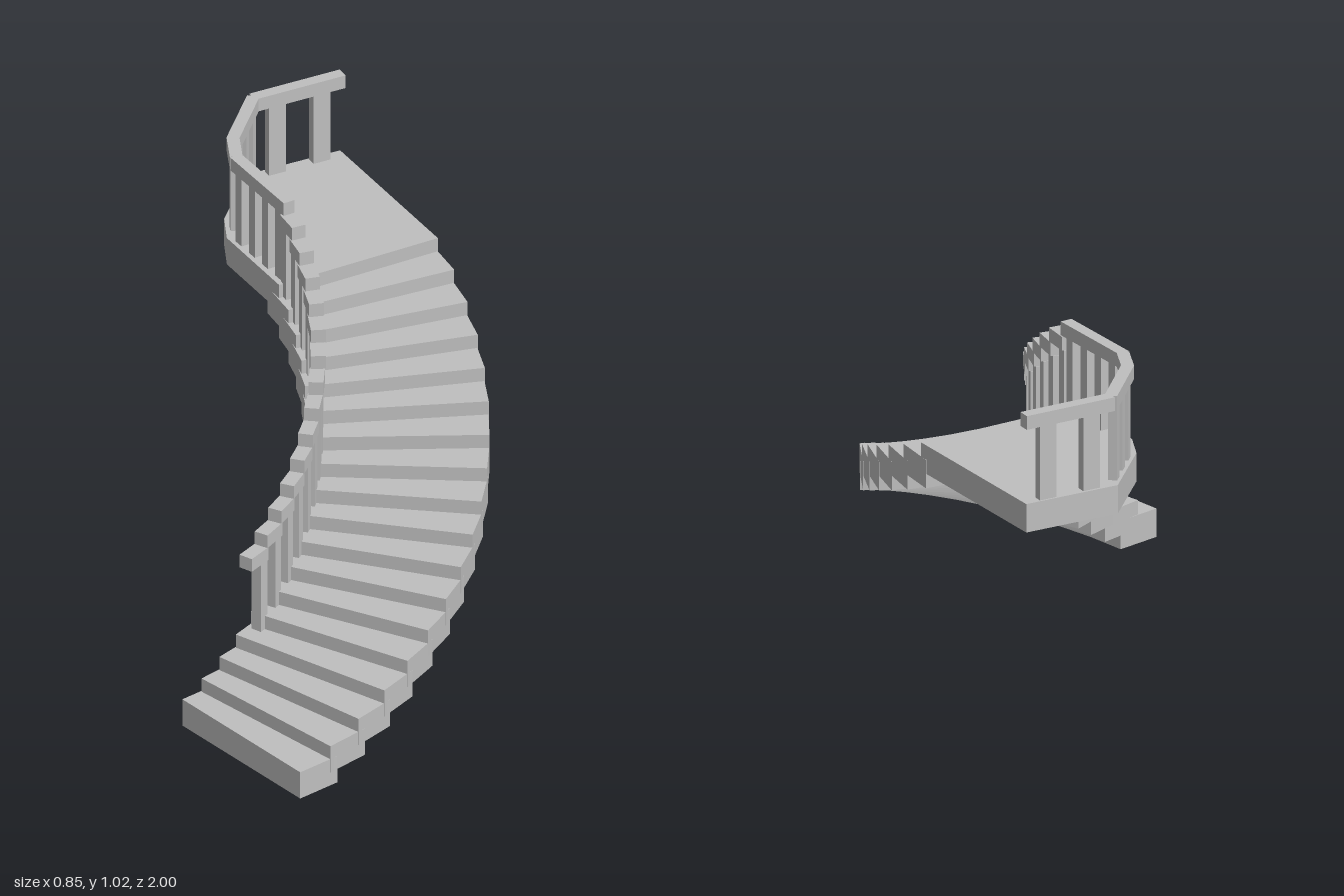
import * as THREE from 'three';

const STEPS = 17, RISE = 0.0405, THICK = 0.081;
const CENTRE = { x: -0.84, z: 0.168 };
const START = THREE.MathUtils.degToRad(38.3), TURN = THREE.MathUtils.degToRad(4.69);
const INNER = 0.777, OUTER = 1.26, DEPTH = 0.128;
const RAIL_R = 0.808, RAIL_TOP = 0.25, RAIL_H = 0.039, RAIL_W = 0.04, POST = 0.03;

export function createModel() {
  const root = new THREE.Group();
  root.name = 'curvedStaircase';
  const stone = new THREE.MeshStandardMaterial({ color: 0xbfbfbf });
  stone.name = 'stone grey';

  function box(name, w, h, d, x, y, z, turn) {
    const mesh = new THREE.Mesh(new THREE.BoxGeometry(w, h, d), stone);
    mesh.name = name;
    mesh.position.set(x, y, z);
    mesh.rotation.y = turn;
    root.add(mesh);
  }

  // Box placed on the stair arc: radius r, shifted forward along the tangent
  function arcBox(name, w, h, d, r, angle, y, forward = 0) {
    const c = Math.cos(angle), s = Math.sin(angle);
    box(name, w, h, d, CENTRE.x + r * c - forward * s, y, CENTRE.z + r * s + forward * c, -angle);
  }

  const postH = RAIL_TOP - RAIL_H;

  // Treads, with a baluster and stepped handrail block from the fourth tread up
  for (let i = 0; i < STEPS; i++) {
    const angle = START - i * TURN, top = THICK + i * RISE;
    arcBox('tread', OUTER - INNER, THICK, DEPTH, (INNER + OUTER) / 2, angle, top - THICK / 2);
    if (i < 3) continue;
    arcBox('baluster', POST, postH, POST, RAIL_R, angle, top + postH / 2);
    arcBox('handrail', RAIL_W, RAIL_H, 0.075, RAIL_R, angle, top + RAIL_TOP - RAIL_H / 2, 0.025);
  }

  // Landing slab
  const top = THICK + STEPS * RISE;
  const outline = [[-0.215, -0.3], [-0.398, -0.505], [-0.425, -0.6], [-0.412, -0.83], [-0.195, -1], [0.147, -0.617]];
  const shape = new THREE.Shape(outline.map(([x, z]) => new THREE.Vector2(x, -z)));
  const slab = new THREE.ExtrudeGeometry(shape, { depth: THICK, bevelEnabled: false });
  slab.rotateX(-Math.PI / 2);
  const landing = new THREE.Mesh(slab, stone);
  landing.name = 'landing';
  landing.position.y = top - THICK;
  root.add(landing);

  // Landing balustrade: each run is [x, z, number of rail blocks to the next corner]
  const runs = [[-0.193, -0.319, 4], [-0.375, -0.515, 1], [-0.402, -0.605, 3], [-0.392, -0.82, 2], [-0.187, -0.985, 0]];
  for (let k = 0; k < runs.length - 1; k++) {
    const [x0, z0, n] = runs[k], [x1, z1] = runs[k + 1];
    const dx = x1 - x0, dz = z1 - z0, turn = Math.atan2(dx, dz);
    const len = Math.hypot(dx, dz) / n;
    const postD = k === 3 ? 0.05 : POST;
    for (let j = 0; j < n; j++) {
      const t = (j + 0.5) / n, x = x0 + dx * t, z = z0 + dz * t;
      box('landingBaluster', 0.025, postH, postD, x, top + postH / 2, z, turn);
      box('landingHandrail', 0.034, RAIL_H, len + 0.004, x, top + RAIL_TOP - RAIL_H / 2, z, turn);
    }
  }
  return root;
}
